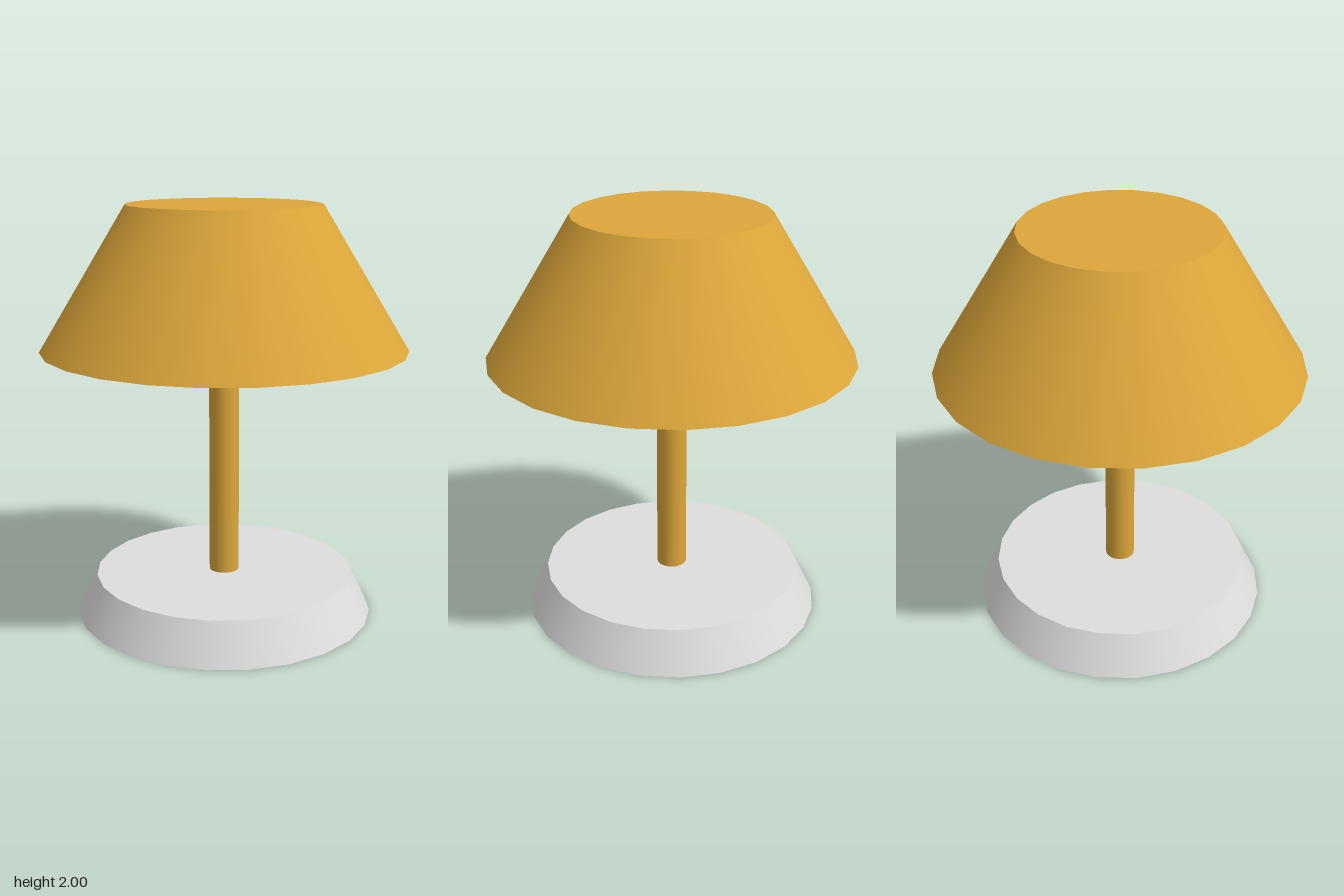
import * as THREE from 'three';

const material = (name, color) => {
  const m = new THREE.MeshStandardMaterial({ color });
  m.name = name;
  return m;
};

export function createModel() {
  const lamp = new THREE.Group();
  lamp.name = 'tableLamp';

  const gold = material('gold', 0xdca63a);
  const lightGrey = material('light grey', 0xdddddd);
  const cream = material('cream', 0xe4d09c);

  const add = (name, geometry, mat, y) => {
    const mesh = new THREE.Mesh(geometry, mat);
    mesh.name = name;
    mesh.position.y = y;
    lamp.add(mesh);
  };

  // Capped, tapered cylinder spanning two heights
  const taper = (name, rTop, rBottom, y0, y1, mat) =>
    add(name, new THREE.CylinderGeometry(rTop, rBottom, y1 - y0, 24), mat, (y0 + y1) / 2);

  taper('base', 0.635, 0.73, 0, 0.195, lightGrey);
  taper('post', 0.073, 0.073, 0.195, 1.2, gold);
  taper('shade', 0.463, 0.877, 1.322, 2, gold);

  // Bulb, half hidden by the closed underside of the shade
  add('bulb', new THREE.SphereGeometry(0.218, 24, 16), cream, 1.345);

  return lamp;
}
